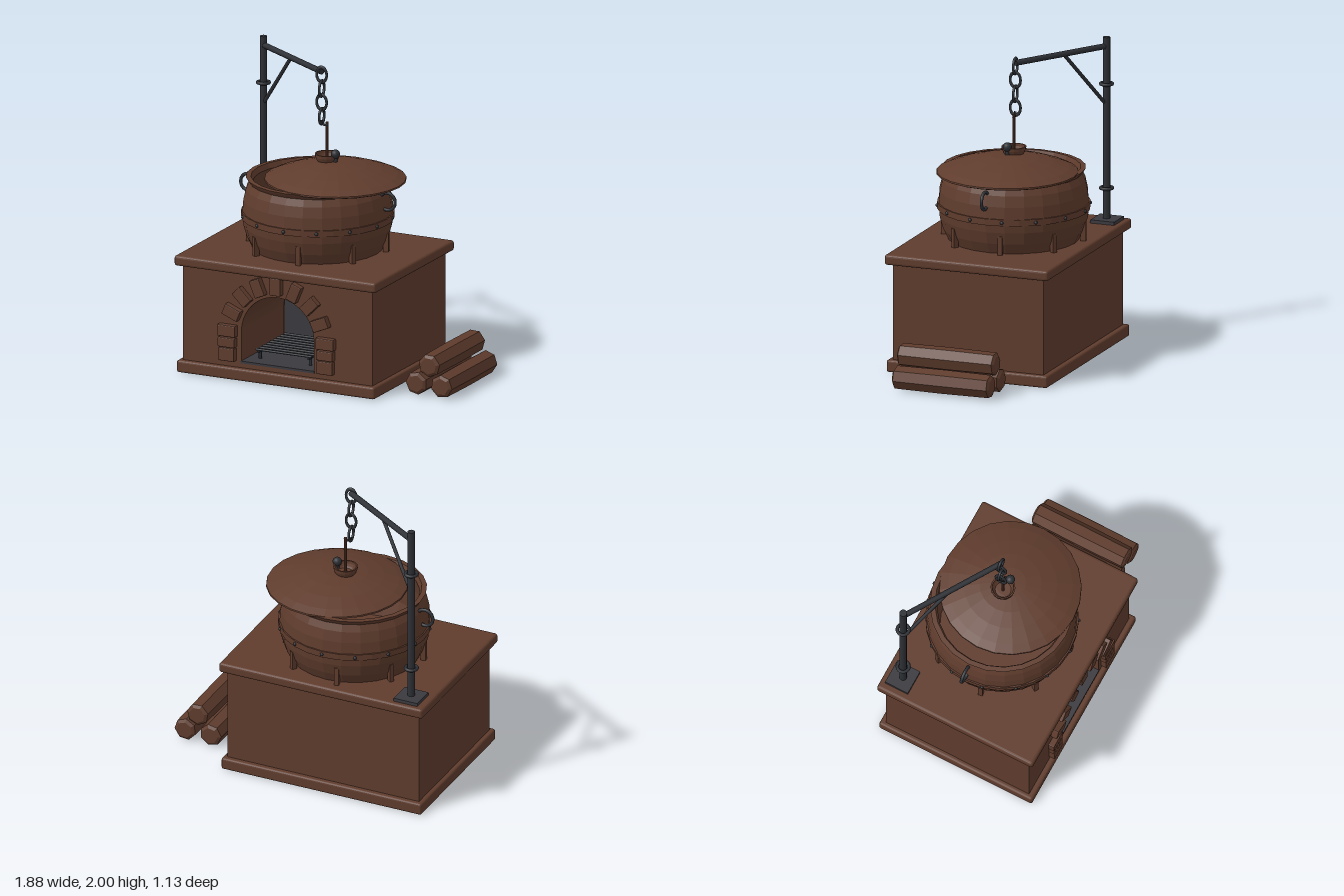
import * as THREE from 'three';
import { RoundedBoxGeometry } from 'three/addons/geometries/RoundedBoxGeometry.js';

const mat = (name, color, flatShading = false) => {
  const m = new THREE.MeshStandardMaterial({ color, flatShading });
  m.name = name;
  return m;
};

export function createModel() {
  const root = new THREE.Group();
  const brown = mat('brown clay', 0x5f3c2d, true);
  const iron = mat('dark iron', 0x2d3035);
  const soot = mat('sooty metal', 0x3a393e, true);

  const add = (name, geo, material, x = 0, y = 0, z = 0, parent = root) => {
    const m = new THREE.Mesh(geo, material);
    m.name = name;
    m.position.set(x, y, z);
    parent.add(m);
    return m;
  };
  const group = (name, x = 0, y = 0, z = 0) => {
    const g = new THREE.Group();
    g.name = name;
    g.position.set(x, y, z);
    root.add(g);
    return g;
  };
  const V = (x, y, z) => new THREE.Vector3(x, y, z);
  const lathe = (pts, n) => new THREE.LatheGeometry(pts.map(p => new THREE.Vector2(...p)), n);
  // Round bar between two points
  const bar = (name, a, b, r, material, parent = root) => {
    const m = add(name, new THREE.CylinderGeometry(r, r, a.distanceTo(b), 10), material, 0, 0, 0, parent);
    m.position.copy(a).add(b).multiplyScalar(0.5);
    m.quaternion.setFromUnitVectors(V(0, 1, 0), b.clone().sub(a).normalize());
    return m;
  };

  // Masonry oven
  const oven = group('oven', -0.22);
  add('plinth', new RoundedBoxGeometry(1.42, 0.08, 1.11, 2, 0.015), brown, 0, 0.04, 0, oven);
  add('topSlab', new RoundedBoxGeometry(1.445, 0.068, 1.13, 2, 0.018), brown, 0, 0.745, 0, oven);
  const face = new THREE.Shape();
  face.moveTo(-0.68, 0.06).lineTo(0.68, 0.06).lineTo(0.68, 0.72).lineTo(-0.68, 0.72).closePath();
  const mouth = new THREE.Path();
  mouth.moveTo(-0.26, 0.11).lineTo(-0.26, 0.32);
  mouth.absarc(0, 0.32, 0.26, Math.PI, 0, true);
  mouth.lineTo(0.26, 0.11).closePath();
  face.holes.push(mouth);
  const front = new THREE.ExtrudeGeometry(face, { depth: 0.6, bevelEnabled: false, curveSegments: 20 });
  add('ovenFront', front, brown, 0, 0, -0.08, oven);
  add('ovenBack', new THREE.BoxGeometry(1.36, 0.66, 0.44), brown, 0, 0.39, -0.3, oven);

  // Firebox lining and grate
  add('fireboxBack', new THREE.BoxGeometry(0.484, 0.425, 0.02), soot, 0, 0.333, -0.07, oven);
  add('fireboxFloor', new THREE.BoxGeometry(0.53, 0.015, 0.6), soot, 0, 0.118, 0.225, oven);
  for (let i = 0; i < 9; i++) {
    const z = 0.03 + i * 0.05;
    bar('grateBar', V(-0.2, 0.188, z), V(0.2, 0.188, z), 0.008, iron, oven);
  }
  for (const x of [-0.18, 0.18]) {
    bar('grateRail', V(x, 0.175, 0.02), V(x, 0.175, 0.44), 0.008, iron, oven);
    for (const z of [0.05, 0.41]) bar('grateLeg', V(x, 0.12, z), V(x, 0.18, z), 0.01, iron, oven);
  }

  // Arch stones and side stones
  for (let i = -3; i <= 3; i++) {
    const a = i * Math.PI / 8;
    const s = add('archStone', new RoundedBoxGeometry(0.076, 0.118, 0.06, 1, 0.006), brown,
      Math.sin(a) * 0.342, 0.318 + Math.cos(a) * 0.342, 0.533, oven);
    s.rotation.z = -a;
  }
  for (const side of [-1, 1]) {
    [[0.165, 0.088, 0.115], [0.245, 0.064, 0.12], [0.322, 0.076, 0.13]].forEach(([y, h, w]) =>
      add('sideStone', new RoundedBoxGeometry(w, h, 0.06, 1, 0.006), brown, side * 0.352, y, 0.53, oven));
  }

  // Open cauldron with thick wall
  const pot = group('cauldron', -0.215, 0, -0.042);
  add('potBody', lathe([[0, 0.78], [0.42, 0.78], [0.455, 0.85], [0.478, 0.93], [0.485, 1], [0.478, 1.1],
    [0.462, 1.17], [0.44, 1.215], [0.455, 1.235], [0.463, 1.248], [0.43, 1.25], [0.415, 1.215],
    [0.44, 1.1], [0.44, 0.95], [0.4, 0.83], [0, 0.82]], 24), brown, 0, 0, 0, pot);
  add('rivetBand', lathe([[0.47, 0.98], [0.492, 0.98], [0.492, 1.022], [0.47, 1.022]], 28), brown, 0, 0, 0, pot);
  for (let i = 0; i < 14; i++) {
    const a = i * Math.PI / 7;
    add('rivet', new THREE.SphereGeometry(0.012, 8, 6), iron, Math.sin(a) * 0.491, 1.001, Math.cos(a) * 0.491, pot);
  }
  for (let i = 0; i < 8; i++) {
    const a = (11 + 45 * i) * Math.PI / 180;
    const f = add('potFoot', new THREE.BoxGeometry(0.03, 0.125, 0.035), brown,
      Math.sin(a) * 0.455, 0.843, Math.cos(a) * 0.455, pot);
    f.rotation.y = a;
  }
  for (const side of [-1, 1])
    add('potHandle', new THREE.TorusGeometry(0.057, 0.011, 8, 20), iron, side * 0.497, 1.142, 0, pot);

  // Lid pushed aside, with a ball knob
  const lid = group('lid', -0.092, 0, -0.047);
  add('lidDome', lathe([[0, 1.235], [0.44, 1.235], [0.457, 1.242], [0.455, 1.252], [0.4, 1.277], [0.3, 1.312],
    [0.2, 1.338], [0.1, 1.353], [0, 1.358]], 24), brown, 0, 0, 0, lid);
  add('knobStem', new THREE.CylinderGeometry(0.012, 0.016, 0.06, 10), iron, 0, 1.375, 0, lid);
  add('knob', new THREE.SphereGeometry(0.03, 14, 10), iron, 0, 1.408, 0, lid);

  // Crane post, arm and brace
  const crane = group('crane');
  const at = (t, y) => V(-0.808 + 0.612 * t, y, -0.443 + 0.383 * t);
  add('postPlate', new THREE.BoxGeometry(0.168, 0.022, 0.165), soot, -0.808, 0.79, -0.447, crane);
  add('post', new THREE.CylinderGeometry(0.024, 0.024, 1.22, 14), iron, -0.808, 1.39, -0.443, crane);
  for (const y of [1.0, 1.69]) {
    const c = add('postCollar', new THREE.TorusGeometry(0.038, 0.011, 8, 18), iron, -0.808, y, -0.443, crane);
    c.rotation.x = Math.PI / 2;
  }
  bar('arm', at(0, 1.94), at(1, 1.94), 0.019, iron, crane);
  bar('brace', at(0, 1.55), at(0.46, 1.93), 0.012, iron, crane);

  // Chain of alternating links, ending in a hook
  const chain = group('chain', -0.197, 0, -0.06);
  for (let i = 0; i < 4; i++) {
    const l = add('chainLink', new THREE.TorusGeometry(0.036, 0.009, 8, 16), iron, 0, 1.92 - i * 0.092, 0, chain);
    l.scale.y = 1.38;
    l.rotation.y = i % 2 ? Math.PI / 2 : 0;
  }
  const hook = new THREE.CatmullRomCurve3([V(0, 1.62, 0), V(0.005, 1.595, 0), V(0.03, 1.588, 0), V(0.048, 1.6, 0)]);
  add('hook', new THREE.TubeGeometry(hook, 10, 0.008, 6), iron, 0, 0, 0, chain);

  // Ladle hanging from the hook
  const ladle = group('ladle', -0.16, 0, -0.065);
  bar('ladleHandle', V(0, 1.33, 0), V(0, 1.608, 0), 0.01, brown, ladle);
  const bowl = [];
  for (let i = 0; i <= 6; i++) bowl.push([0.08 * Math.sin(i * Math.PI / 12), 1.4 - 0.08 * Math.cos(i * Math.PI / 12)]);
  for (let i = 6; i >= 0; i--) bowl.push([0.07 * Math.sin(i * Math.PI / 12), 1.4 - 0.07 * Math.cos(i * Math.PI / 12)]);
  add('ladleBowl', lathe(bowl, 16), brown, 0, 0, 0, ladle);

  // Stacked firewood
  const logs = group('firewood');
  [[0.68, 0.08, 0.2], [0.86, 0.08, 0.55], [0.772, 0.208, 0.85]].forEach(([x, y, turn]) => {
    const log = add('log', lathe([[0, -0.335], [0.055, -0.335], [0.076, -0.322], [0.079, 0], [0.076, 0.322],
      [0.055, 0.335], [0, 0.335]], 7), brown, x, y, 0.01, logs);
    log.rotation.set(Math.PI / 2, turn, 0);
  });
  return root;
}
